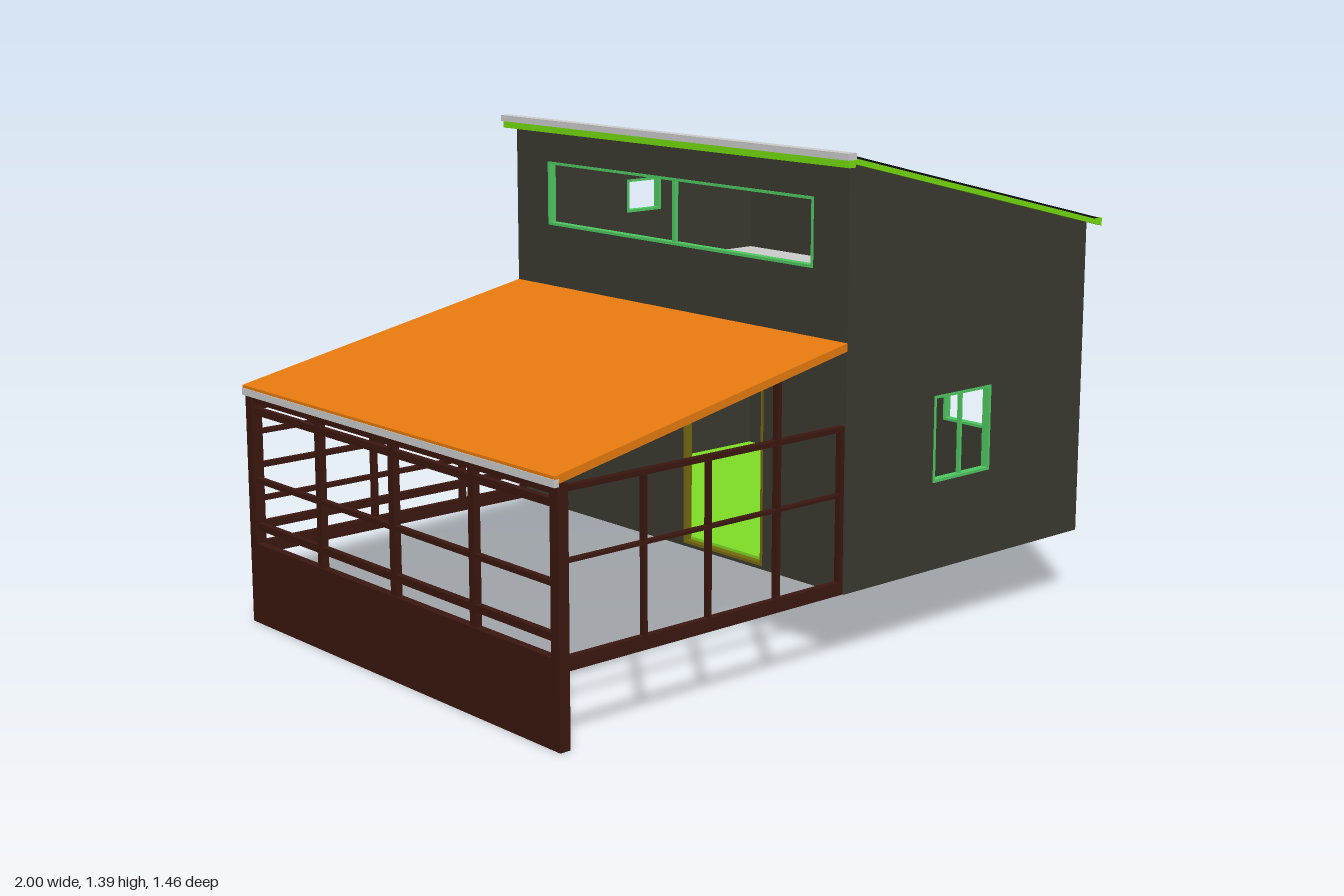
import * as THREE from 'three';

const mat = (color) => new THREE.MeshStandardMaterial({ color, side: THREE.DoubleSide });
const M = {
  wall: mat(0x3a3930), black: mat(0x0d0d0d), lime: mat(0x74dc10), floor: mat(0x7edb25),
  orange: mat(0xe67a0e), brown: mat(0x3a170f), frame: mat(0x4fc860), olive: mat(0x73690f),
  grey: mat(0xcccccc),
};

export function createModel() {
  const root = new THREE.Group();

  const group = (name) => {
    const g = new THREE.Group();
    g.name = name;
    root.add(g);
    return g;
  };
  // Box given by its limits
  const box = (name, m, x0, x1, y0, y1, z0, z1, parent = root) => {
    const mesh = new THREE.Mesh(new THREE.BoxGeometry(x1 - x0, y1 - y0, z1 - z0), m);
    mesh.position.set((x0 + x1) / 2, (y0 + y1) / 2, (z0 + z1) / 2);
    mesh.name = name;
    parent.add(mesh);
    return mesh;
  };
  const polygon = (pts) => new THREE.Shape(pts.map((p) => new THREE.Vector2(...p)));
  const rect = ([a, b, c, d]) => [[a, c], [b, c], [b, d], [a, d]];
  // Side profile in x, y swept from z0 to z1
  const prism = (name, m, pts, z0, z1, holes = []) => {
    const s = polygon(pts);
    holes.forEach((h) => s.holes.push(polygon(rect(h).reverse())));
    const mesh = new THREE.Mesh(new THREE.ExtrudeGeometry(s, { depth: z1 - z0, bevelEnabled: false }), m);
    mesh.position.z = z0;
    mesh.name = name;
    root.add(mesh);
    return mesh;
  };
  // Wall across z, drawn in z, y; its outer or inner face lies at x
  const sideWall = (name, m, pts, x, depth, holes) => {
    const mesh = prism(name, m, pts, 0, depth, holes);
    mesh.rotation.y = -Math.PI / 2;
    mesh.position.set(x, 0, 0);
    return mesh;
  };

  // House shell
  const X0 = -0.015, X1 = 0.965, Z = 0.7, T = 0.02;
  const topY = (x) => 1.36 - 0.2475 * (x - X0);
  const gable = [[X0, 0.2], [X1, 0.2], [X1, topY(X1)], [X0, topY(X0)]];
  const frontWin = [0.33, 0.565, 0.45, 0.695];
  const backWin = [0.37, 0.61, 0.45, 0.695];
  const vent = [0.405, 0.545, 1.055, 1.16];
  const sideWin = [0.19, 0.525, 0.45, 0.695];
  const door = [-0.3, 0.03, 0.21, 0.745];
  const porchDoor = [0.06, 0.385, 0.21, 0.745];
  const clerestory = [-0.55, 0.57, 1.07, 1.26];
  prism('frontWall', M.wall, gable, Z - T, Z, [frontWin]);
  prism('backWall', M.wall, gable, -Z, T - Z, [backWin, vent]);
  sideWall('lowWall', M.wall, rect([T - Z, Z - T, 0.2, topY(X1)]), X1, T, [sideWin, door]);
  sideWall('highWall', M.wall, rect([T - Z, Z - T, 0.2, topY(X0)]), X0 + T, T, [porchDoor, clerestory]);
  box('floor', M.floor, X0 + T, X1 - 0.005, 0.206, 0.226, T - Z, Z - T);
  box('loftFloor', M.grey, X0 + T, X1 - T, 0.87, 0.895, T - Z, Z - T);

  // Window and door frames, thin rings set into the openings
  const F = 0.008, D = 0.024;
  const inset = ([a, b, c, d]) => [a + F, b - F, c + F, d - F];
  const frameZ = (name, o, z) => prism(name, M.frame, rect(o), z - D / 2, z + D / 2, [inset(o)]);
  const frameX = (name, m, o, x) => sideWall(name, m, rect(o), x + D / 2, D, [inset(o)]);
  frameZ('frontWindowFrame', frontWin, Z - T / 2);
  frameZ('backWindowFrame', backWin, T / 2 - Z);
  frameZ('ventFrame', vent, T / 2 - Z);
  frameX('sideWindowFrame', M.frame, sideWin, X1 - T / 2);
  frameX('clerestoryFrame', M.frame, clerestory, X0 + T / 2);
  frameX('doorFrame', M.olive, door, X1 - T / 2);
  frameX('porchDoorFrame', M.olive, porchDoor, X0 + T / 2);
  for (const [o, z] of [[frontWin, Z - T / 2], [backWin, T / 2 - Z]]) {
    const c = (o[0] + o[1]) / 2;
    box('windowMullion', M.frame, c - 0.004, c + 0.004, o[2], o[3], z - 0.006, z + 0.006);
  }
  box('clerestoryMullion', M.frame, X0 + 0.004, X0 + 0.016, 1.07, 1.26, 0.004, 0.016);

  // Sloping main roof with green fascia and a grey cap
  const RX0 = -0.045, RX1 = 0.998, RZ = 0.725;
  const band = (a, b) => [[RX0, topY(RX0) + a], [RX1, topY(RX1) + a], [RX1, topY(RX1) + b], [RX0, topY(RX0) + b]];
  prism('mainRoof', M.black, band(0.002, 0.018), -RZ, RZ);
  for (const s of [-1, 1]) prism('sideFascia', M.lime, band(-0.003, 0.012), s * 0.722 - 0.006, s * 0.722 + 0.006);
  box('lowFascia', M.lime, 0.97, 1, 1.117, 1.129, -0.728, 0.728);
  box('highFascia', M.lime, -0.045, -0.022, 1.35, 1.375, -0.727, 0.727);
  box('ridgeCap', M.grey, -0.052, -0.02, 1.37, 1.388, -0.729, 0.729);

  // Lean-to porch roof and gutter
  const porchY = (x) => 0.67 + 0.197 * (x + 1);
  prism('porchRoof', M.orange, [[-0.998, porchY(-1)], [X0, porchY(X0)], [X0, porchY(X0) + 0.022],
    [-0.998, porchY(-1) + 0.022]], -Z, Z);
  box('gutter', M.grey, -1, -0.985, 0.664, 0.684, -Z, Z);

  // Porch end: solid base board, corner posts, balusters and rails
  const end = group('porchEnd');
  box('baseBoard', M.brown, -0.99, -0.965, 0, 0.235, -Z, Z, end);
  for (const s of [-1, 1]) box('cornerPost', M.brown, -0.99, -0.958, 0, 0.67, s * 0.684 - 0.016, s * 0.684 + 0.016, end);
  for (const z of [-0.347, 0, 0.347]) box('endPost', M.brown, -0.985, -0.965, 0.2, 0.66, z - 0.012, z + 0.012, end);
  for (const [y, h] of [[0.285, 0.02], [0.42, 0.014], [0.62, 0.02], [0.658, 0.03]])
    box('endRail', M.brown, -0.985, -0.967, y - h / 2, y + h / 2, -Z, Z, end);

  // Porch sides: beams and rails, the back one denser
  const side = (name, z, rails, posts) => {
    const g = group(name);
    for (const [y, h] of rails) box('rail', M.brown, -0.97, X0, y - h / 2, y + h / 2, z - 0.01, z + 0.01, g);
    for (const [x, w, top] of posts)
      box('post', M.brown, x - w / 2, x + w / 2, 0.2, top, z - 0.009, z + 0.009, g);
  };
  const beams = [[0.218, 0.036], [0.283, 0.022]];
  side('porchFront', 0.686, [beams[0], [0.475, 0.008], [0.655, 0.014]],
    [[-0.71, 0.01, 0.655], [-0.495, 0.01, 0.655], [-0.255, 0.014, porchY(-0.255)], [-0.022, 0.014, 0.655]]);
  side('porchBack', -0.686, [...beams, [0.36, 0.012], [0.458, 0.014], [0.555, 0.012], [0.63, 0.018]],
    [[-0.575, 0.016, porchY(-0.575)], [-0.255, 0.016, porchY(-0.255)], [-0.022, 0.014, 0.655]]);

  return root;
}
